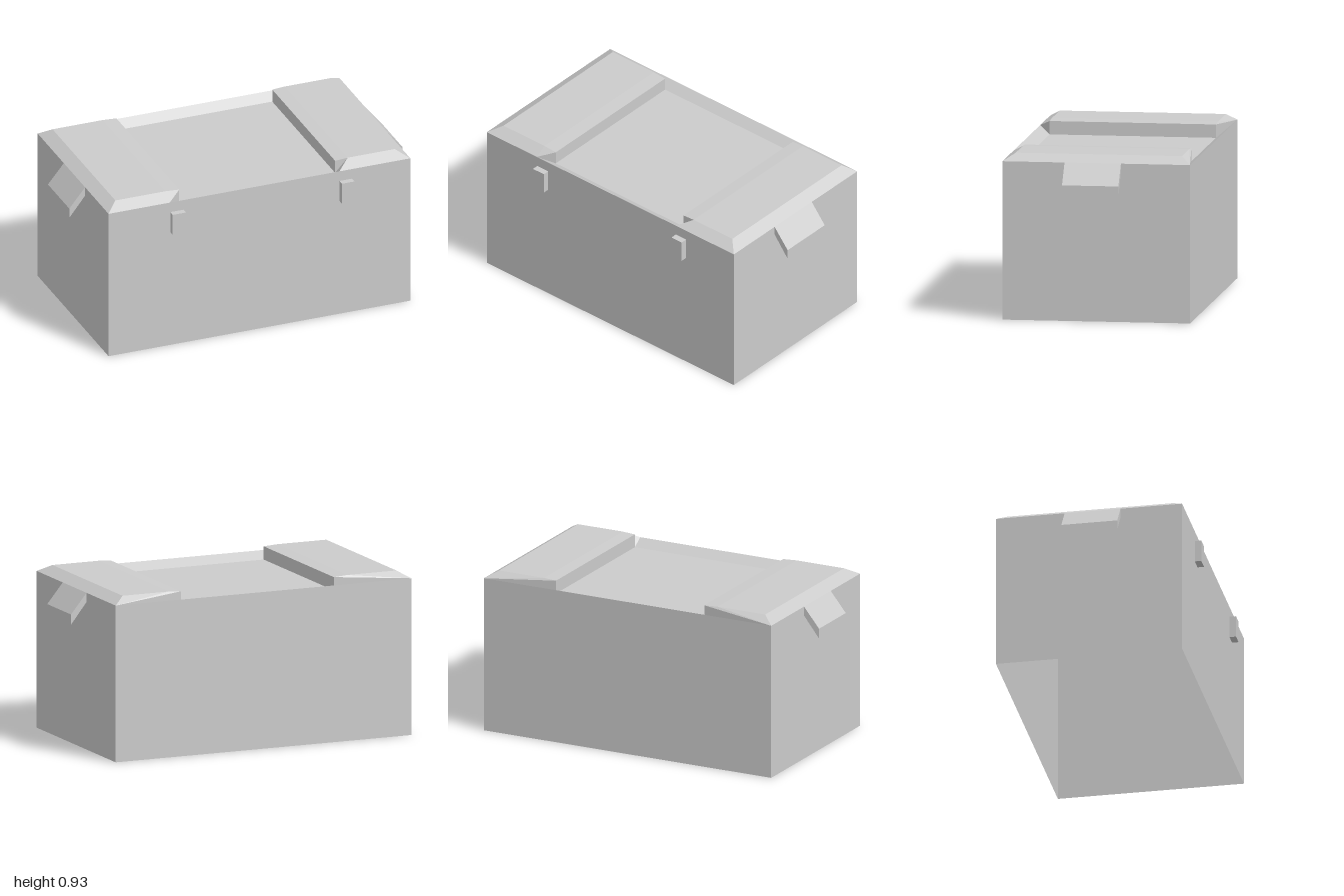
import * as THREE from 'three';

const X = 0.905, RIM = 0.89, ZF = 0.51, ZB = -0.545; // body extents
const TOP = 0.93, FLOOR = 0.85, TF = 0.445, TB = -0.49; // lid levels and inner edges
const material = new THREE.MeshStandardMaterial({ color: 0xcccccc, flatShading: true, side: THREE.DoubleSide });

function add(parent, name, geometry) {
  const mesh = new THREE.Mesh(geometry, material);
  mesh.name = name;
  parent.add(mesh);
  return mesh;
}

// Flat faces from lists of corner points, each split as a fan
function faces(polygons) {
  const pos = [];
  for (const p of polygons) {
    for (let i = 1; i < p.length - 1; i++) pos.push(...p[0], ...p[i], ...p[i + 1]);
  }
  const g = new THREE.BufferGeometry();
  g.setAttribute('position', new THREE.Float32BufferAttribute(pos, 3));
  g.computeVertexNormals();
  return g;
}

function rectPath(x0, x1, y0, y1, PathType = THREE.Path) {
  return new PathType([[x0, y0], [x1, y0], [x1, y1], [x0, y1]].map(p => new THREE.Vector2(...p)));
}

// Corner points of one raised lid end; s = side, rim = where its front bevel stops
function lidPoints(s, inner, edge, rim) {
  return {
    s,
    front: [s * X, RIM, ZF], back: [s * X, RIM, ZB],
    topFront: [s * 0.838, TOP, TF], topBack: [s * 0.838, TOP, TB],
    edgeFront: [edge, TOP, TF], edgeBack: [edge, TOP, TB],
    lipFront: [inner, 0.925, TF], lipBack: [inner, 0.925, TB],
    lowFront: [inner, FLOOR, TF], lowBack: [inner, FLOOR, TB],
    rim: [rim, RIM, ZF],
  };
}

function raisedEnd(p) {
  const list = [
    [p.topFront, p.edgeFront, p.edgeBack, p.topBack],
    [p.edgeFront, p.lipFront, p.lipBack, p.edgeBack],
    [p.lipFront, p.lowFront, p.lowBack, p.lipBack],
    [p.front, p.topFront, p.topBack, p.back],
    [p.front, p.rim, p.edgeFront, p.topFront],
    [p.rim, p.lowFront, p.lipFront, p.edgeFront],
    [p.back, p.topBack, p.edgeBack],
    [p.back, p.edgeBack, p.lipBack],
    [p.back, p.lipBack, p.lowBack],
  ];
  // Keep the winding outward on both sides
  return faces(p.s > 0 ? list.map(f => f.slice().reverse()) : list);
}

export function createModel() {
  const model = new THREE.Group();
  const clips = [[-0.535, -0.455], [0.48, 0.555]];
  const clipY = [0.705, 0.83], clipZ = 0.547;

  // Hollow body, open underneath, with openings behind the clips
  const body = new THREE.Group();
  body.name = 'body';
  model.add(body);
  const wall = rectPath(-X, X, 0, RIM, THREE.Shape);
  clips.forEach(c => wall.holes.push(rectPath(...c, ...clipY)));
  add(body, 'frontWall', new THREE.ShapeGeometry(wall)).position.z = ZF;
  add(body, 'backWall', faces([[[X, 0, ZB], [-X, 0, ZB], [-X, RIM, ZB], [X, RIM, ZB]]]));
  add(body, 'leftWall', faces([[[X, 0, ZF], [X, 0, ZB], [X, RIM, ZB], [X, RIM, ZF]]]));
  add(body, 'rightWall', faces([[[-X, 0, ZB], [-X, 0, ZF], [-X, RIM, ZF], [-X, RIM, ZB]]]));

  // Lid: two raised bevelled ends with a sunken panel between them
  const lid = new THREE.Group();
  lid.name = 'lid';
  model.add(lid);
  const r = lidPoints(-1, -0.455, -0.538, -0.538);
  const l = lidPoints(1, 0.48, 0.555, 0.48);
  add(lid, 'rightLidEnd', raisedEnd(r));
  add(lid, 'leftLidEnd', raisedEnd(l));
  add(lid, 'sunkenPanel', faces([
    [r.lowFront, l.lowFront, l.lowBack, r.lowBack],
    [r.rim, l.rim, l.lowFront, r.lowFront],
    [r.lowBack, l.lowBack, l.back, r.back],
  ]));

  // Front clips, hollow at the back
  for (const [a, b] of clips) {
    const [y0, y1] = clipY;
    const outline = [[a, y0], [b, y0], [b, y1], [a, y1]];
    const list = outline.map((p, i) => {
      const q = outline[(i + 1) % 4];
      return [[...p, ZF], [...q, ZF], [...q, clipZ], [...p, clipZ]];
    });
    list.push(outline.map(p => [...p, clipZ]));
    add(model, 'frontClip', faces(list));
  }

  // Slanted handles and thin side panels
  const profile = [[X, RIM], [X, 0.838], [1, 0.717], [1, 0.775]];
  for (const s of [1, -1]) {
    const shape = new THREE.Shape(profile.map(([x, y]) => new THREE.Vector2(s * x, y)));
    const handle = new THREE.ExtrudeGeometry(shape, { depth: 0.317, bevelEnabled: false });
    add(model, s > 0 ? 'leftHandle' : 'rightHandle', handle).position.z = -0.156;

    const panel = new THREE.PlaneGeometry(0.53, 0.447).rotateY(s * Math.PI / 2);
    add(model, s > 0 ? 'leftSidePanel' : 'rightSidePanel', panel)
      .position.set(s > 0 ? 0.912 : -0.907, 0.447, -0.017);
  }
  return model;
}
